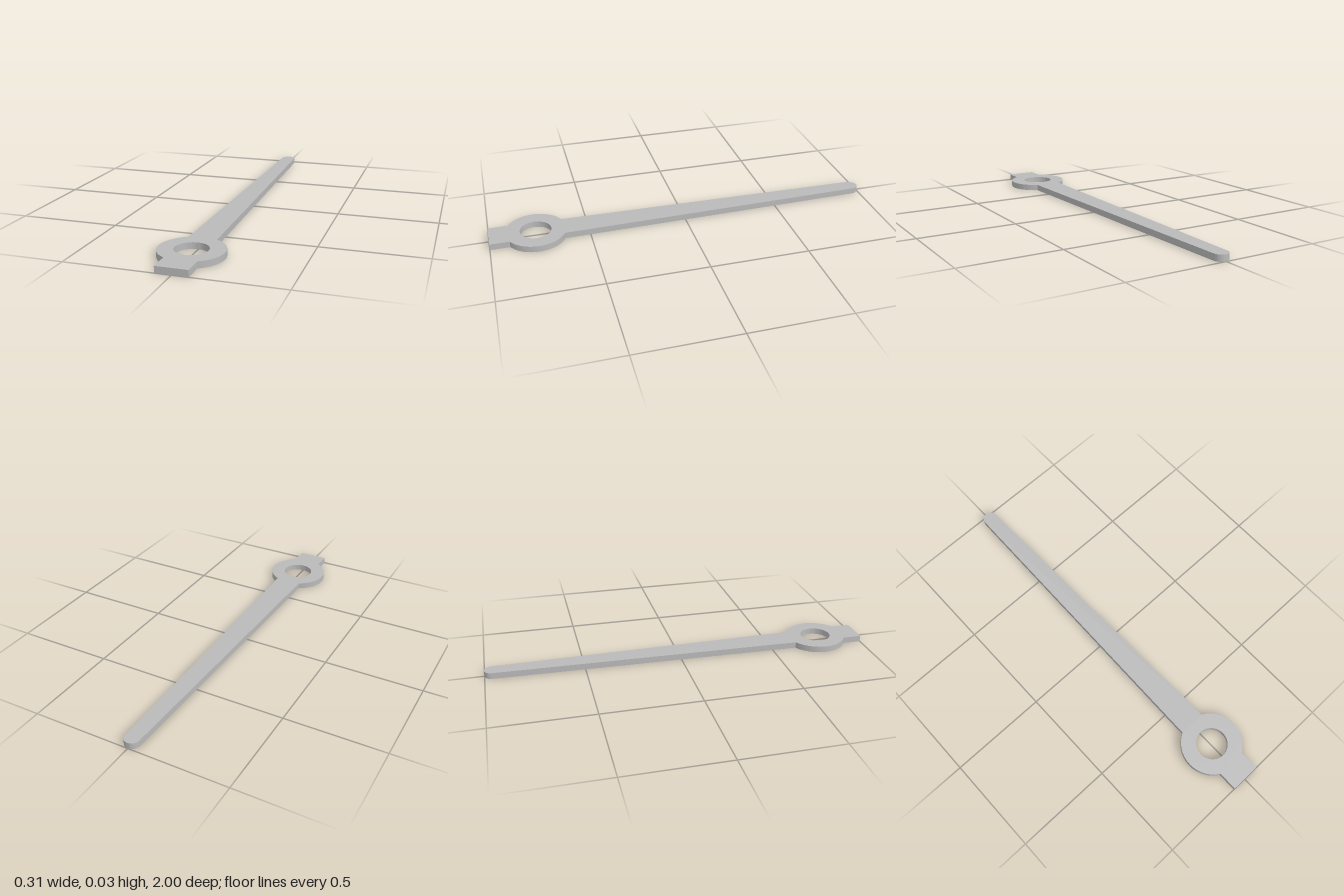
import * as THREE from 'three';
import { toCreasedNormals } from 'three/addons/utils/BufferGeometryUtils.js';

const THICKNESS = 0.032;
const HUB_Z = 0.767, HUB_R = 0.154, HOLE_R = 0.079;
const TAIL_HALF = 0.076, ARM_HALF = 0.068, TIP_R = 0.038;

export function createModel() {
  const model = new THREE.Group();
  const metal = new THREE.MeshStandardMaterial({ color: 0xbababa });
  metal.name = 'grey metal';

  // Flat outline, drawn with shape y = -z
  const hubY = -HUB_Z, tipY = 1 - TIP_R;
  const tailAngle = Math.acos(TAIL_HALF / HUB_R);
  const armAngle = Math.acos(ARM_HALF / HUB_R);
  const outline = new THREE.Shape();
  outline.moveTo(-TAIL_HALF, -1);
  outline.lineTo(TAIL_HALF, -1);
  // right half of the hub, tapering arm with round tip, left half of the hub
  outline.absarc(0, hubY, HUB_R, -tailAngle, armAngle, false);
  outline.absarc(0, tipY, TIP_R, 0, Math.PI, false);
  outline.absarc(0, hubY, HUB_R, Math.PI - armAngle, Math.PI + tailAngle, false);
  outline.closePath();

  // Round hole through the hub
  const hole = new THREE.Path();
  hole.absarc(0, hubY, HOLE_R, 0, Math.PI * 2, true);
  outline.holes.push(hole);

  const geometry = new THREE.ExtrudeGeometry(outline, {
    depth: THICKNESS, bevelEnabled: false, curveSegments: 32,
  });
  geometry.rotateX(-Math.PI / 2);

  const pointer = new THREE.Mesh(toCreasedNormals(geometry, 0.5), metal);
  pointer.name = 'pointerHand';
  model.add(pointer);
  return model;
}
